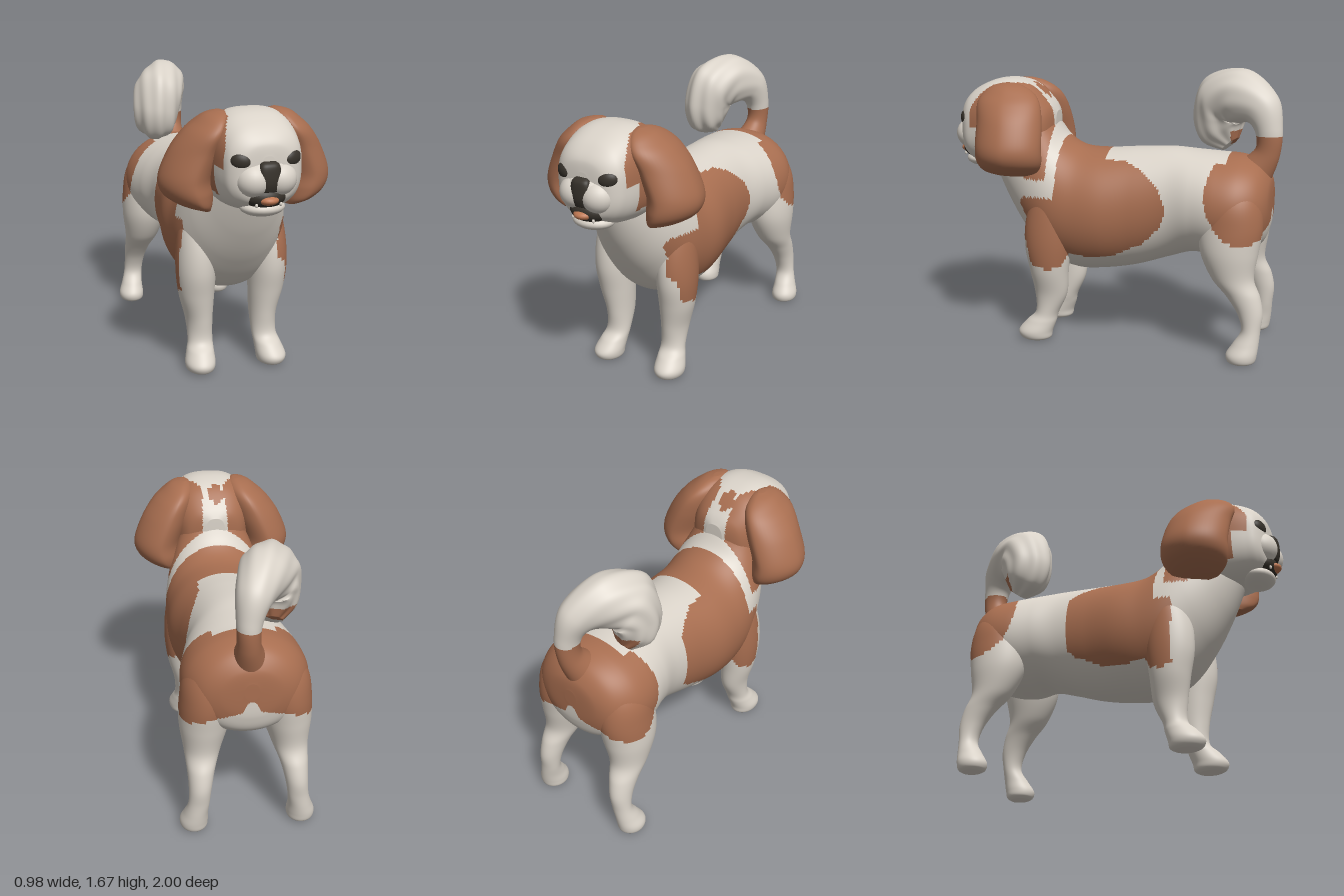
import * as THREE from 'three';

const mat = (name, color) => Object.assign(new THREE.MeshStandardMaterial({ color }), { name });
const cream = mat('cream coat', 0xdad3c9);
const brown = mat('brown coat', 0xa86e50);
const dark = mat('dark features', 0x37322b);
const pink = mat('tongue', 0xbd7752);

// Rings are [cx,cy,cz, ux,uy,uz, vx,vy,vz]: a centre and two half axes.
const acrossRing = ([zt, yt, zb, yb, hw]) =>
  [0, (yt + yb) / 2, (zt + zb) / 2, hw, 0, 0, 0, (yt - yb) / 2, (zt - zb) / 2];
const flatRing = side => ([y, x, z, rx, rz]) => [side * x, y, z, rx, 0, 0, 0, 0, rz];

function spline(a, b, c, d, t) {
  return b + 0.5 * t * (c - a + t * (2 * a - 5 * b + 4 * c - d + t * (3 * (b - c) + d - a)));
}

// Smooth closed skin through rings; paint(x,y,z) chooses the second colour for each face.
function loft(name, rings, { steps = 8, sides = 48, power = 2, base = cream, paint = () => false, ripple = () => 1 } = {}) {
  const pos = [], last = rings.length - 1, at = i => rings[Math.min(last, Math.max(0, i))];
  const addRing = (r, scale, f) => {
    for (let j = 0; j < sides; j++) {
      const a = j / sides * Math.PI * 2, k = scale * ripple(a, f);
      const c = Math.sign(Math.cos(a)) * Math.abs(Math.cos(a)) ** (2 / power) * k;
      const s = Math.sign(Math.sin(a)) * Math.abs(Math.sin(a)) ** (2 / power) * k;
      for (let m = 0; m < 3; m++) pos.push(r[m] + r[3 + m] * c + r[6 + m] * s);
    }
  };
  addRing(rings[0], 0, 0);
  for (let i = 0; i <= last * steps; i++) {
    const n = Math.min(last - 1, Math.floor(i / steps)), t = i / steps - n;
    addRing(rings[0].map((_, m) => spline(at(n - 1)[m], at(n)[m], at(n + 1)[m], at(n + 2)[m], t)), 1, i / (last * steps));
  }
  addRing(rings[last], 0, 1);

  const faces = [[], []], rows = pos.length / 3 / sides;
  for (let i = 0; i < rows - 1; i++) for (let j = 0; j < sides; j++) {
    const a = i * sides + j, b = i * sides + (j + 1) % sides, c = b + sides, d = a + sides;
    const mid = m => (pos[a * 3 + m] + pos[b * 3 + m] + pos[c * 3 + m] + pos[d * 3 + m]) / 4;
    faces[paint(mid(0), mid(1), mid(2)) ? 1 : 0].push(a, b, c, a, c, d);
  }
  const g = new THREE.BufferGeometry();
  g.setAttribute('position', new THREE.Float32BufferAttribute(pos, 3));
  g.setIndex([...faces[0], ...faces[1]]);
  g.addGroup(0, faces[0].length, 0);
  g.addGroup(faces[0].length, faces[1].length, 1);
  g.computeVertexNormals();
  const mesh = new THREE.Mesh(g, [base, brown]);
  mesh.name = name;
  return mesh;
}

function ellipsoid(name, material, p, r, yaw = 0, roll = 0) {
  const mesh = new THREE.Mesh(new THREE.SphereGeometry(1, 28, 18), material);
  mesh.name = name;
  mesh.position.set(...p);
  mesh.scale.set(...r);
  mesh.rotation.set(0, yaw, roll);
  return mesh;
}

// Coat markings, outlined in (z, y)
const saddle = [[0.3, 1.45], [0.3, 0.92], [0.5, 0.91], [0.57, 0.86], [0.55, 0.72], [0.48, 0.62], [0.45, 0.5],
  [0.34, 0.475], [0.27, 0.5], [0.23, 0.57], [0.1, 0.56], [-0.05, 0.58], [-0.22, 0.66], [-0.33, 0.77],
  [-0.37, 0.88], [-0.32, 1.0], [-0.2, 1.1], [-0.08, 1.15], [0.03, 1.17], [0.03, 1.45]];
// White blaze over the head, as (z, half width)
const blaze = [[0.36, 0.08], [0.5, 0.06], [0.58, 0.11], [0.66, 0.175], [0.7, 0.14], [0.83, 0.2], [0.87, 0.21]];
function inside(poly, px, py) {
  let hit = false;
  poly.forEach(([x1, y1], i) => {
    const [x2, y2] = poly[(i + 1) % poly.length];
    if ((y1 > py) !== (y2 > py) && px < (x2 - x1) * (py - y1) / (y2 - y1) + x1) hit = !hit;
  });
  return hit;
}
function headMark(x, y, z) {
  if (z < 0.36 || z > 0.86) return false;
  if (Math.hypot((x + 0.02) / 0.04, (z - 0.47) / 0.055) < 1 && y > 1.3) return true;
  const i = blaze.findIndex(p => p[0] > z), [z1, w1] = blaze[i - 1], [z2, w2] = blaze[i];
  const edge = w1 + (w2 - w1) * (z - z1) / (z2 - z1);
  const low = z < 0.5 ? 1.02 : z < 0.77 ? 1.15 : 1.3;
  return y > low && Math.abs(x) > edge;
}
function coat(x, y, z) {
  const ax = Math.abs(x);
  if (z < -0.5) {
    const notch = Math.hypot(x / 0.055, (y - 0.75) / 0.12) < 1;
    return Math.hypot((z + 0.84) / 0.24, (y - 1.0) / 0.285) < 1 && !notch && y > 0.82 - 0.3 * ax
      && (ax > 0.17 || z < -0.7);
  }
  if (z > 0.36 && y > 1.02) return headMark(x, y, z);
  if (x < 0 && (z > 0.41 || z < -0.27)) return false;
  return inside(saddle, z, y) && (y > 0.95 || ax > 0.235) && (z > 0.03 || ax > 0.165);
}

export function createModel() {
  const dog = new THREE.Group();
  dog.name = 'dog';

  // Torso and neck in one skin
  dog.add(loft('body', [
    [-0.955, 0.98, -0.955, 0.88, 0.04], [-0.94, 1.06, -0.945, 0.76, 0.18], [-0.88, 1.14, -0.9, 0.66, 0.28],
    [-0.78, 1.18, -0.78, 0.6, 0.345], [-0.65, 1.19, -0.65, 0.575, 0.355], [-0.5, 1.2, -0.5, 0.585, 0.32],
    [-0.35, 1.21, -0.35, 0.54, 0.285], [-0.15, 1.2, -0.15, 0.475, 0.3], [0.05, 1.185, 0.05, 0.44, 0.335],
    [0.2, 1.195, 0.22, 0.435, 0.333], [0.3, 1.25, 0.4, 0.5, 0.322], [0.36, 1.33, 0.56, 0.68, 0.285],
    [0.4, 1.42, 0.68, 0.87, 0.235], [0.45, 1.48, 0.76, 1.04, 0.19], [0.5, 1.5, 0.78, 1.1, 0.15],
  ].map(acrossRing), { steps: 14, sides: 130, power: 2.05, paint: coat }));

  // Skull
  dog.add(loft('head', [
    [0.36, 1.4, 0.36, 1.2, 0.06], [0.4, 1.46, 0.4, 1.1, 0.17], [0.5, 1.555, 0.5, 1.05, 0.23],
    [0.62, 1.592, 0.62, 1.04, 0.25], [0.74, 1.585, 0.74, 1.05, 0.245], [0.84, 1.545, 0.84, 1.07, 0.225],
    [0.9, 1.5, 0.9, 1.1, 0.2], [0.94, 1.445, 0.94, 1.14, 0.14], [0.95, 1.38, 0.95, 1.22, 0.04],
  ].map(acrossRing), { steps: 12, sides: 96, power: 2.7, paint: headMark }));

  // Muzzle, mouth and nose
  dog.add(
    ellipsoid('muzzleBridge', cream, [0, 1.285, 0.89], [0.15, 0.078, 0.1]),
    ellipsoid('lowerJaw', cream, [0, 1.09, 0.855], [0.125, 0.05, 0.105]),
    ellipsoid('mouth', dark, [0, 1.158, 0.882], [0.122, 0.07, 0.098]),
    ellipsoid('tongue', pink, [0, 1.147, 0.935], [0.06, 0.03, 0.067]),
    loft('nose', [
      [1.355, 0, 0.945, 0.035, 0.02], [1.335, 0, 0.955, 0.055, 0.034], [1.285, 0, 0.957, 0.063, 0.038],
      [1.235, 0, 0.957, 0.057, 0.036], [1.195, 0, 0.95, 0.047, 0.03],
    ].map(flatRing(1)), { steps: 5, sides: 32, power: 2.6, base: dark }));

  for (const side of [1, -1]) {
    const label = side > 0 ? 'left' : 'right', place = flatRing(side);
    dog.add(
      ellipsoid(label + 'MuzzleLobe', cream, [side * 0.07, 1.25, 0.903], [0.1, 0.094, 0.096]),
      ellipsoid(label + 'Eye', dark, [side * 0.142, 1.357, 0.912], [0.058, 0.047, 0.033], side * 0.4, side * 0.15),
      ellipsoid(label + 'Tooth', cream, [side * 0.068, 1.122, 0.952], [0.008, 0.012, 0.008]));

    // Full ears, tapering outward
    dog.add(loft(label + 'Ear', [
      [1.578, 0.165, 0.62, 0.02, 0.035], [1.56, 0.18, 0.62, 0.065, 0.1], [1.52, 0.2, 0.61, 0.1, 0.16],
      [1.46, 0.235, 0.6, 0.13, 0.195], [1.36, 0.285, 0.58, 0.15, 0.2], [1.22, 0.34, 0.57, 0.15, 0.203],
      [1.13, 0.33, 0.57, 0.142, 0.2], [1.07, 0.295, 0.575, 0.1, 0.17], [1.035, 0.25, 0.58, 0.045, 0.11],
    ].map(place), { power: 1.75, paint: () => true }));

    // Legs, each running down into its paw
    dog.add(loft(label + 'FrontLeg', [
      [1.0, 0.19, 0.33, 0.08, 0.08], [0.9, 0.2, 0.35, 0.108, 0.12], [0.75, 0.215, 0.365, 0.115, 0.142],
      [0.6, 0.22, 0.37, 0.115, 0.142], [0.45, 0.215, 0.365, 0.103, 0.12], [0.3, 0.2, 0.36, 0.08, 0.1],
      [0.18, 0.2, 0.385, 0.074, 0.072], [0.12, 0.21, 0.42, 0.08, 0.092], [0.06, 0.22, 0.455, 0.088, 0.106],
      [0.02, 0.22, 0.455, 0.08, 0.098], [0.003, 0.22, 0.455, 0.055, 0.07],
    ].map(place), { steps: 7, paint: coat }));
    dog.add(loft(label + 'BackLeg', [
      [1.08, 0.18, -0.76, 0.08, 0.1], [0.94, 0.2, -0.75, 0.145, 0.165], [0.8, 0.22, -0.745, 0.15, 0.185],
      [0.65, 0.235, -0.74, 0.14, 0.17], [0.5, 0.25, -0.765, 0.105, 0.125], [0.4, 0.265, -0.83, 0.08, 0.1],
      [0.3, 0.275, -0.875, 0.065, 0.075], [0.2, 0.285, -0.885, 0.06, 0.056], [0.12, 0.3, -0.86, 0.068, 0.075],
      [0.06, 0.31, -0.838, 0.08, 0.09], [0.02, 0.31, -0.835, 0.075, 0.083], [0.003, 0.31, -0.835, 0.05, 0.06],
    ].map(place), { steps: 7, paint: coat }));
  }

  // Bushy tail curling forward over the back, leaning to one side, with combed locks
  const path = [[0, 1.08, -0.84, 0.11], [0.015, 1.2, -0.915, 0.075], [0.015, 1.33, -0.92, 0.08],
    [-0.015, 1.45, -0.875, 0.115], [-0.09, 1.51, -0.74, 0.16], [-0.155, 1.475, -0.63, 0.172],
    [-0.18, 1.375, -0.6, 0.16], [-0.18, 1.275, -0.615, 0.135], [-0.16, 1.21, -0.67, 0.06]];
  const rings = path.map(([x, y, z, r], i) => {
    const p = path[Math.max(0, i - 1)], n = path[Math.min(path.length - 1, i + 1)];
    const t = new THREE.Vector3(n[0] - p[0], n[1] - p[1], n[2] - p[2]).normalize();
    const u = new THREE.Vector3(1, 0, 0).addScaledVector(t, -t.x).normalize();
    const v = t.clone().cross(u).multiplyScalar(r);
    u.multiplyScalar(r * 0.88);
    return [x, y, z, ...u.toArray(), ...v.toArray()];
  });
  dog.add(loft('tail', rings, {
    steps: 12, sides: 72, paint: (x, y, z) => y < 1.3 && z < -0.68,
    ripple: (a, f) => 1 + 0.07 * Math.max(0, f - 0.3) * (Math.cos(9 * a + 5 * f) + Math.cos(5 * a - 4 * f)),
  }));
  return dog;
}
